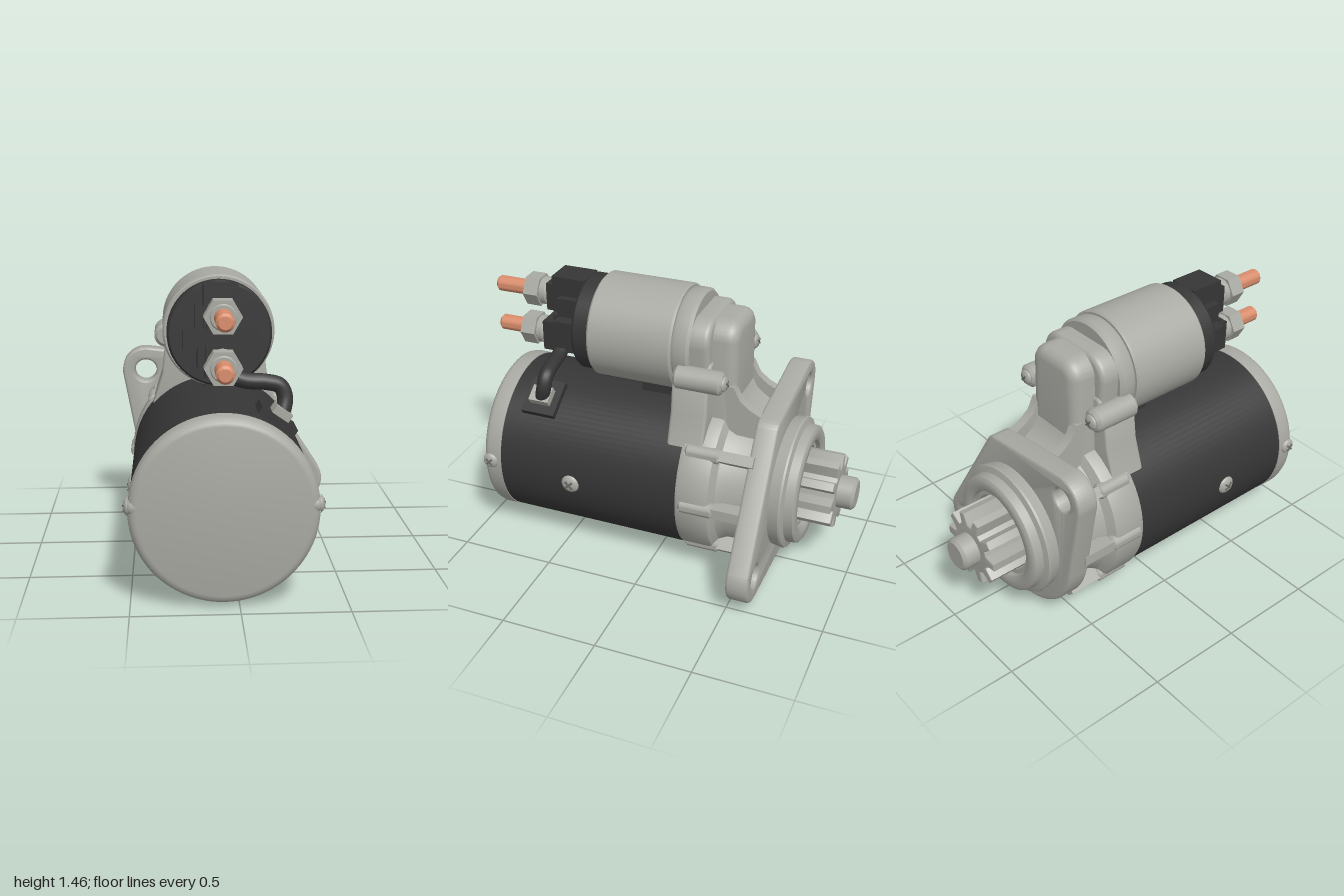
import * as THREE from 'three';
import { toCreasedNormals } from 'three/addons/utils/BufferGeometryUtils.js';

const CX = -0.07, MY = 0.455, SY = 1.19; // shared axis x, motor height, solenoid height

export function createModel() {
  const root = new THREE.Group();
  const mat = (name, color) => Object.assign(new THREE.MeshStandardMaterial({ color }), { name });
  const metal = mat('cast metal grey', 0xa9aaa3);
  const black = mat('black', 0x363636);
  const copper = mat('copper', 0xd98d6c);
  const recess = mat('recess grey', 0x696a66);

  const add = (name, geo, m, x = 0, y = 0, z = 0, parent = root) => {
    const mesh = new THREE.Mesh(geo, m);
    mesh.name = name;
    mesh.position.set(x, y, z);
    parent.add(mesh);
    return mesh;
  };
  // turned part along z from [radius, z] pairs, back to front
  const turned = (name, pts, m, x, y, seg = 64) => {
    const g = new THREE.LatheGeometry(pts.map(p => new THREE.Vector2(...p)), seg).rotateX(Math.PI / 2);
    return add(name, toCreasedNormals(g, 0.6), m, x, y);
  };
  const rod = (name, r, z0, z1, m, x, y, b = 0.01) =>
    turned(name, [[0, z0], [r - b, z0], [r, z0 + b], [r, z1 - b], [r - b, z1], [0, z1]], m, x, y, 32);
  const box = (name, x0, x1, y0, y1, z0, z1, m) =>
    add(name, new THREE.BoxGeometry(x1 - x0, y1 - y0, z1 - z0), m, (x0 + x1) / 2, (y0 + y1) / 2, (z0 + z1) / 2);
  // shape extruded between two z values with rounded edges kept inside the outline
  const slab = (name, shape, z0, z1, b, m) => {
    const g = new THREE.ExtrudeGeometry(shape, {
      depth: z1 - z0 - 2 * b, bevelEnabled: b > 0, bevelSize: b, bevelThickness: b,
      bevelOffset: -b, bevelSegments: 4, curveSegments: 20 });
    g.translate(0, 0, z0 + b);
    return add(name, toCreasedNormals(g, 0.6), m);
  };
  const poly = pts => new THREE.Shape(pts.map(p => new THREE.Vector2(...p)));
  // outline wrapped tightly around circles [x, y, r] given counter-clockwise
  const wrap = circles => {
    const n = circles.length;
    const angle = i => {
      const [ax, ay, ar] = circles[i % n], [bx, by, br] = circles[(i + 1) % n];
      return Math.atan2(by - ay, bx - ax) - Math.acos((ar - br) / Math.hypot(bx - ax, by - ay));
    };
    const s = new THREE.Shape();
    circles.forEach(([x, y, r], i) => s.absarc(x, y, r, angle(i + n - 1), angle(i), false));
    return s;
  };

  // motor body and end cap
  turned('motorBody', [[0, -0.17], [0.43, -0.17], [0.43, 0.835], [0, 0.835]], black, CX, MY, 96);
  turned('endCap', [[0, 0.825], [0.434, 0.825], [0.434, 0.895], [0.427, 0.915], [0.41, 0.928], [0.395, 0.931], [0, 0.931]],
    metal, CX, MY, 96);

  // cross-head screws on the motor sides and cap edge
  const screw = (name, r, x, y, z, rotY) => {
    const g = new THREE.Group();
    g.name = name;
    g.position.set(x, y, z);
    g.rotation.y = rotY;
    const head = new THREE.SphereGeometry(r, 24, 10, 0, Math.PI * 2, 0, Math.PI / 2).rotateX(Math.PI / 2).scale(1, 1, 0.5);
    add('screwHead', head, metal, 0, 0, 0, g);
    for (const a of [Math.PI / 4, -Math.PI / 4])
      add('screwSlot', new THREE.BoxGeometry(r * 1.1, r * 0.22, 0.008), recess, 0, 0, r * 0.45, g).rotation.z = a;
    root.add(g);
  };
  for (const s of [-1, 1]) {
    screw('bodyScrew', 0.05, CX + s * 0.425, 0.44, 0.42, s * Math.PI / 2);
    add('capBoltHead', new THREE.SphereGeometry(0.044, 24, 16), metal, CX + s * 0.405, 0.48, 0.887);
    screw('capScrew', 0.042, CX + s * 0.432, 0.48, 0.885, s * Math.PI / 2);
  }

  // drive housing with ribs
  turned('driveHousing', [[0, -0.56], [0.36, -0.56], [0.365, -0.4], [0.385, -0.36], [0.43, -0.335], [0.437, -0.32],
    [0.437, -0.18], [0.428, -0.16], [0, -0.16]], metal, CX, MY, 80);
  for (const deg of [0, 40, 140, 180, 225, 270, 315]) {
    const a = deg * Math.PI / 180;
    const rib = add('housingRib', new THREE.BoxGeometry(0.15, 0.055, 0.36), metal,
      CX + Math.cos(a) * 0.365, MY + Math.sin(a) * 0.365, -0.36);
    rib.rotation.z = a;
    rod('ribBoss', 0.04, -0.37, -0.18, metal, CX + Math.cos(a) * 0.412, MY + Math.sin(a) * 0.412, 0.015);
  }

  // mounting flange with two bolt ears
  const ears = [[0.43, 0.185, 0.138, 0.063], [-0.44, 0.835, 0.13, 0.061]];
  const flange = wrap([ears[0].slice(0, 3), [0.09, 0.82, 0.08], ears[1].slice(0, 3), [CX, MY, 0.425]]);
  for (const [x, y, , r] of ears) flange.holes.push(new THREE.Path().absarc(x, y, r, 0, Math.PI * 2, true));
  slab('mountingFlange', flange, -0.625, -0.51, 0.014, metal);

  // stepped nose ring, open around the pinion
  turned('noseRing', [[0.235, -0.63], [0.235, -0.745], [0.25, -0.755], [0.295, -0.755], [0.31, -0.745], [0.315, -0.70],
    [0.345, -0.69], [0.35, -0.68], [0.34, -0.62], [0.235, -0.62]], metal, CX, MY);
  turned('innerRing', [[0.205, -0.63], [0.205, -0.725], [0.228, -0.725], [0.228, -0.63]], metal, CX, MY);
  // pinion and shaft
  const teeth = 10, gear = [];
  for (let i = 0; i < teeth; i++)
    for (const [f, r] of [[-0.34, 0.133], [-0.17, 0.195], [0.17, 0.195], [0.34, 0.133]]) {
      const a = (i + f) / teeth * Math.PI * 2;
      gear.push([CX + Math.cos(a) * r, MY + Math.sin(a) * r]);
    }
  slab('pinion', poly(gear), -0.91, -0.6, 0.006, metal);
  rod('shaft', 0.085, -1.0, -0.85, metal, CX, MY, 0.015);

  // solenoid can and collar
  turned('solenoidCan', [[0, -0.075], [0.262, -0.075], [0.27, -0.065], [0.27, 0.365], [0.262, 0.375], [0, 0.375]], metal, CX, SY, 80);
  turned('solenoidCollar', [[0, -0.165], [0.245, -0.165], [0.258, -0.15], [0.258, -0.09], [0.25, -0.075], [0, -0.075]], metal, CX, SY);

  // solenoid nose: domed block narrowing towards the back
  slab('solenoidNose', wrap([[CX + 0.12, 0.8, 0.06], [CX + 0.07, 1.26, 0.1], [CX - 0.07, 1.26, 0.1], [CX - 0.12, 0.8, 0.06]]),
    -0.385, -0.14, 0.06, metal);
  slab('noseShoulder', wrap([[CX + 0.14, 0.9, 0.06], [CX + 0.11, 1.25, 0.12], [CX - 0.11, 1.25, 0.12], [CX - 0.14, 0.9, 0.06]]),
    -0.26, -0.1, 0.03, metal);
  // flared neck joining solenoid and housing
  slab('neck', poly([[CX - 0.33, 0.72], [CX + 0.33, 0.72], [CX + 0.275, 0.9], [CX + 0.255, 1.08], [CX + 0.2, 1.16],
    [CX - 0.2, 1.16], [CX - 0.255, 1.08], [CX - 0.275, 0.9]]), -0.27, -0.08, 0.015, metal);
  for (const s of [-1, 1]) {
    rod('solenoidScrewBoss', 0.06, -0.35, -0.1, metal, CX + s * 0.255, 1.095, 0.015);
    screw('solenoidScrew', 0.04, CX + s * 0.255, 1.095, -0.35, Math.PI);
  }
  // sloping web from the nose down to the flange
  const web = (name, x, w, drop) => {
    const g = new THREE.ExtrudeGeometry(poly([[0.25, 0.7], [0.54, 0.7], [0.54, 0.89 - drop], [0.46, 0.93 - drop],
      [0.41, 0.97 - drop], [0.375, 1.04 - drop], [0.25, 1.04 - drop]]), { depth: w, bevelEnabled: false });
    add(name, toCreasedNormals(g.rotateY(Math.PI / 2), 0.6), metal, x - w / 2);
  };
  web('neckWeb', CX, 0.32, 0.07);
  for (const s of [-1, 1]) web('neckRib', CX + s * 0.15, 0.05, 0);

  // seal between motor and solenoid
  box('sealBlock', CX - 0.08, CX + 0.08, 0.84, 0.97, -0.08, 0.15, black);
  box('sealStrip', CX - 0.07, CX + 0.07, 0.915, 0.97, 0.1, 0.385, black);

  // terminal cap with stepped terminal blocks
  turned('terminalCap', [[0, 0.37], [0.25, 0.37], [0.25, 0.455], [0.24, 0.468], [0, 0.468]], black, CX, SY);
  box('upperBlock', -0.15, 0.01, 1.24, 1.435, 0.46, 0.645, black);
  box('upperBlockFront', -0.14, 0.0, 1.24, 1.385, 0.6, 0.685, black);
  box('upperWings', -0.19, 0.05, 1.24, 1.335, 0.46, 0.6, black);
  box('middleWings', -0.245, 0.105, 1.13, 1.23, 0.46, 0.6, black);
  box('middleBlock', -0.18, 0.04, 1.05, 1.235, 0.46, 0.63, black);
  box('lowerBlock', -0.145, 0.005, 1.01, 1.17, 0.46, 0.715, black);

  // threaded terminals with washers and hex nuts
  for (const [y, z] of [[1.315, 0.69], [1.09, 0.72]]) {
    rod('terminalWasher', 0.073, z, z + 0.05, metal, CX, y);
    const nut = new THREE.CylinderGeometry(0.087, 0.087, 0.08, 6).rotateX(Math.PI / 2).rotateZ(Math.PI / 6);
    add('terminalNut', toCreasedNormals(nut, 0.3), metal, CX, y, z + 0.085);
    rod('terminalCollar', 0.06, z + 0.12, z + 0.135, metal, CX, y, 0.005);
    rod('terminalStud', 0.041, z - 0.03, 0.998, copper, CX, y, 0.012);
  }

  // cable from the lower terminal to the motor
  const path = new THREE.CatmullRomCurve3([[-0.06, 1.03, 0.62], [0.04, 0.995, 0.62], [0.14, 0.985, 0.61], [0.205, 0.965, 0.605],
    [0.228, 0.91, 0.61], [0.215, 0.84, 0.63]].map(p => new THREE.Vector3(...p)));
  add('cable', new THREE.TubeGeometry(path, 40, 0.038, 14), black);
  const entry = new THREE.Group();
  entry.name = 'cableEntry';
  entry.position.set(0.185, 0.82, 0.635);
  entry.rotation.z = -0.6;
  add('entryPlate', new THREE.BoxGeometry(0.2, 0.035, 0.185), black, 0, 0, 0, entry);
  add('entryClamp', new THREE.BoxGeometry(0.09, 0.055, 0.11), metal, 0.005, 0.03, 0, entry);
  root.add(entry);

  return root;
}
